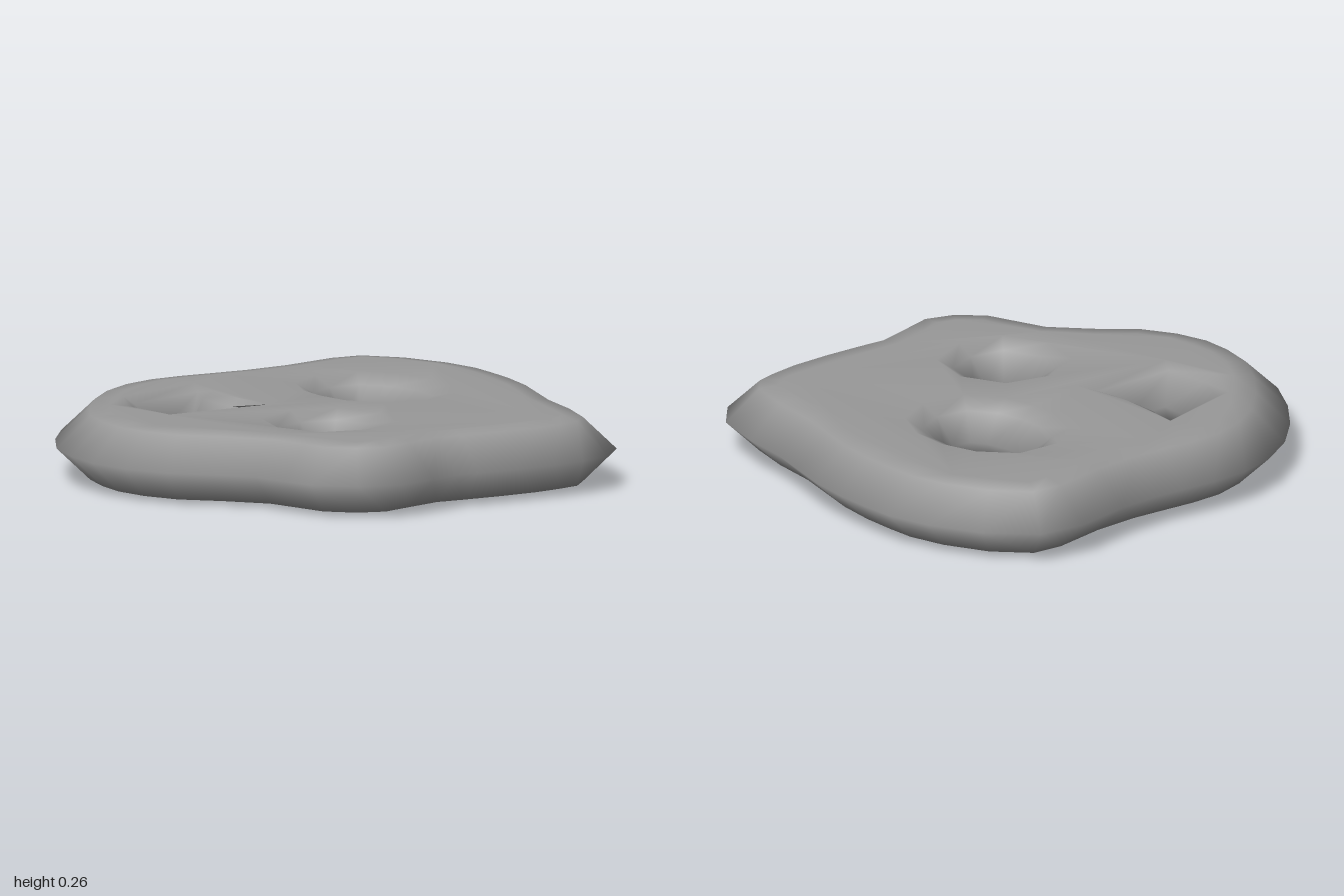
import * as THREE from 'three';

const H = 0.26, MID = 0.13;

// Mid-height edges as [x, z]; the hole loops run the opposite way round to the outline
const outline = [
  [-.27, -1], [-.14, -.99], [0, -.97], [.16, -.93], [.3, -.875], [.44, -.82], [.62, -.775], [.81, -.7],
  [.91, -.58], [.93, -.45], [.93, -.32], [.91, -.16], [.88, 0], [.86, .08], [.875, .2], [.89, .36],
  [.82, .51], [.69, .625], [.57, .66], [.44, .69], [.32, .78], [.18, .9], [.02, .97], [-.14, .995],
  [-.29, .975], [-.45, .92], [-.6, .81], [-.73, .68], [-.84, .53], [-.91, .37], [-.935, .21], [-.92, .06],
  [-.89, -.08], [-.865, -.2], [-.85, -.36], [-.86, -.59], [-.81, -.765], [-.64, -.9], [-.44, -.975],
];
const ovalHole = [
  [-.14, -.43], [-.24, -.41], [-.3, -.37], [-.31, -.31], [-.28, -.24], [-.23, -.22],
  [-.14, -.21], [-.05, -.22], [.01, -.25], [.03, -.32], [.01, -.38], [-.05, -.415],
];
const roundHole = [
  [.26, .115], [.19, .135], [.165, .21], [.18, .29], [.25, .305], [.33, .285], [.35, .21], [.34, .14],
];
const hornedHole = [
  [-.28, .335], [-.35, .335], [-.42, .335], [-.455, .3], [-.45, .45], [-.37, .485], [-.275, .5], [-.25, .32],
];
const hornedRim = [
  [-.27, .25], [-.35, .25], [-.46, .235], [-.57, .17], [-.53, .5], [-.4, .58], [-.22, .58], [-.16, .2],
];

// Moves a loop sideways into the slab
function inset(loop, d) {
  const n = loop.length;
  return loop.map(([x, z], i) => {
    const a = loop[(i + n - 1) % n], b = loop[(i + 1) % n];
    const tx = b[0] - a[0], tz = b[1] - a[1], l = Math.hypot(tx, tz);
    return [x - tz / l * d, z + tx / l * d];
  });
}

// Each edge is three loops: mid-height, shoulder, and the border of the flat face
const edges = [
  { loops: [outline, inset(outline, .125), inset(outline, .2)], shoulder: .25 },
  { loops: [ovalHole, inset(ovalHole, .08), inset(ovalHole, .15)], shoulder: .225 },
  { loops: [roundHole, inset(roundHole, .08), inset(roundHole, .14)], shoulder: .225 },
  { loops: [hornedHole, hornedRim, inset(hornedRim, .045)], shoulder: .235 },
];

function slabGeometry() {
  const pos = [], index = [];
  const addLoop = (loop, y) => {
    const start = pos.length / 3;
    loop.forEach(([x, z]) => pos.push(x, y, z));
    return start;
  };
  const tri = (a, b, c, flip) => (flip ? index.push(a, c, b) : index.push(a, b, c));

  // Bevelled walls, upper and lower halves sharing the mid loop
  const faceIds = [[], []];
  for (const { loops, shoulder } of edges) {
    const n = loops[0].length, mid = addLoop(loops[0], MID);
    for (const under of [0, 1]) {
      const y = (v) => (under ? H - v : v);
      const rings = [mid, addLoop(loops[1], y(shoulder)), addLoop(loops[2], y(H))];
      for (let r = 0; r < 2; r++) {
        for (let i = 0; i < n; i++) {
          const j = (i + 1) % n, a = rings[r], b = rings[r + 1];
          tri(a + i, b + i, a + j, under);
          tri(a + j, b + i, b + j, under);
        }
      }
      for (let i = 0; i < n; i++) faceIds[under].push(rings[2] + i);
    }
  }

  // Flat top and bottom faces with the holes left open
  const flat = edges.map((e) => e.loops[2].map(([x, z]) => new THREE.Vector2(x, z)));
  const pts = flat.flat();
  for (const [a, b, c] of THREE.ShapeUtils.triangulateShape(flat[0], flat.slice(1))) {
    const up = THREE.ShapeUtils.area([pts[a], pts[b], pts[c]]) < 0;
    faceIds.forEach((ids, under) => tri(ids[a], ids[b], ids[c], up === Boolean(under)));
  }

  const g = new THREE.BufferGeometry();
  g.setAttribute('position', new THREE.Float32BufferAttribute(pos, 3));
  g.setIndex(index);
  g.computeVertexNormals();
  return g;
}

export function createModel() {
  const group = new THREE.Group();
  group.name = 'piercedSlab';
  const grey = new THREE.MeshStandardMaterial({ color: 0x999999 });
  grey.name = 'grey';
  const slab = new THREE.Mesh(slabGeometry(), grey);
  slab.name = 'slab';
  group.add(slab);
  return group;
}
